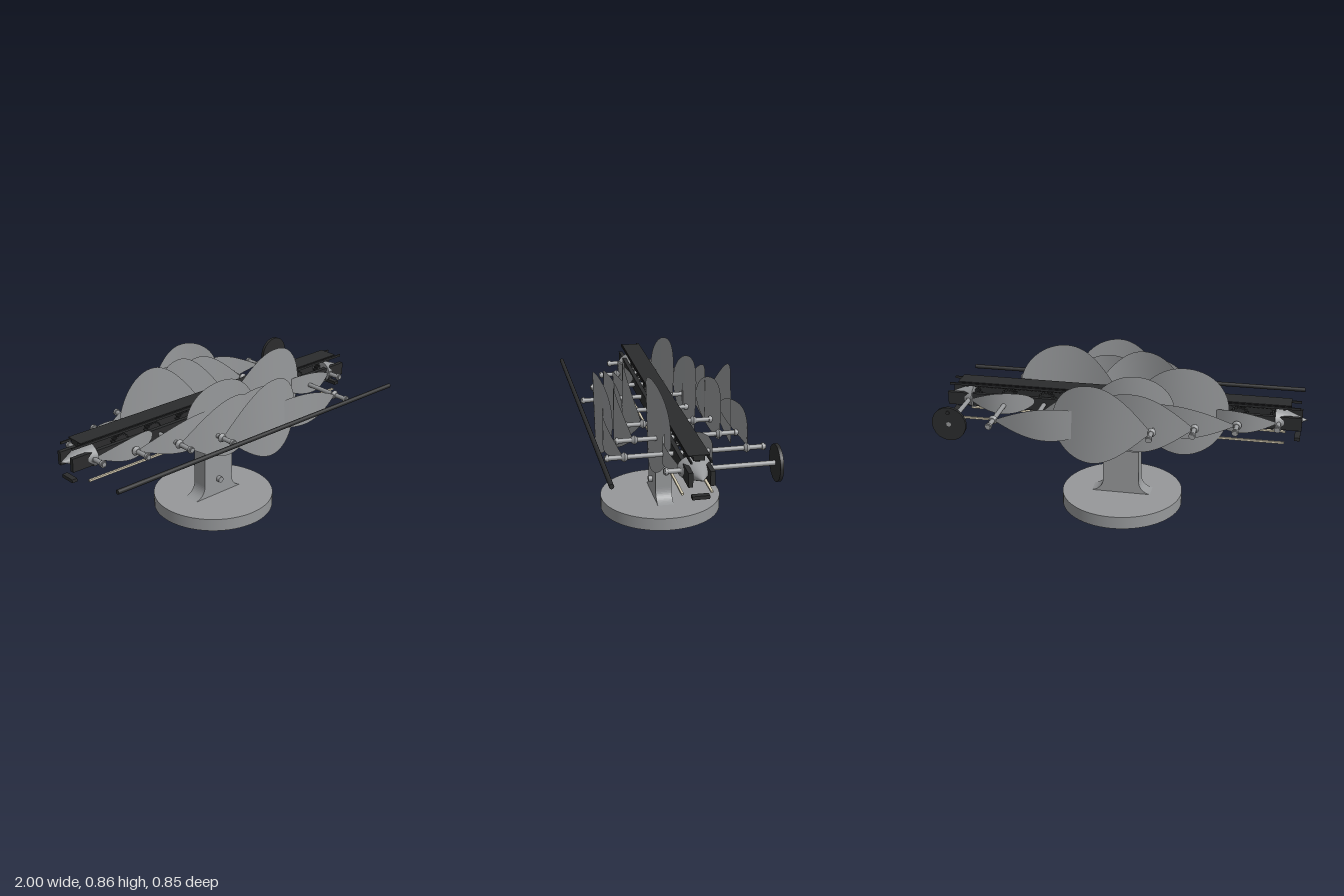
import * as THREE from 'three';

const grey = new THREE.MeshStandardMaterial({ color: 0x96989a, side: THREE.DoubleSide });
grey.name = 'brushed grey';
const dark = new THREE.MeshStandardMaterial({ color: 0x2b2c2d });
dark.name = 'charcoal';
const cream = new THREE.MeshStandardMaterial({ color: 0xd6cdb4 });
cream.name = 'cream';

const AXIS_Y = 0.575; // height of all shafts
const MID_Z = -0.012; // middle plane of the machine

function add(parent, name, geo, mat, x = 0, y = 0, z = 0) {
  const m = new THREE.Mesh(geo, mat);
  m.name = name;
  m.position.set(x, y, z);
  parent.add(m);
  return m;
}
const box = (p, name, mat, w, h, d, x, y, z) => add(p, name, new THREE.BoxGeometry(w, h, d), mat, x, y, z);

// Cylinder lying along z from z0 to z1
function rod(p, name, mat, r0, z0, z1, x, y = AXIS_Y, r1 = r0) {
  const g = new THREE.CylinderGeometry(r1, r0, Math.abs(z1 - z0), 20);
  g.rotateX(z1 > z0 ? Math.PI / 2 : -Math.PI / 2);
  return add(p, name, g, mat, x, y, (z0 + z1) / 2);
}

// Pointed, rounded petal starting at the shaft, bowed along its length
function petalGeometry(length, half, bow, dir, tilt) {
  const rows = 40, cols = 4, widest = 0.585;
  const g = new THREE.PlaneGeometry(1, 1, rows, cols);
  const p = g.attributes.position;
  for (let i = 0; i < p.count; i++) {
    const u = p.getX(i) + 0.5;
    const t = (1 - Math.cos(Math.PI * u)) / 2;
    const w = t < widest
      ? Math.sin((Math.PI / 2) * (t / widest))
      : Math.sqrt(Math.max(0, 1 - ((t - widest) / (1 - widest)) ** 2));
    const a = t * length, b = p.getY(i) * 2 * half * w;
    p.setXYZ(i, dir * (a * Math.cos(tilt) - b * Math.sin(tilt)),
      a * Math.sin(tilt) + b * Math.cos(tilt), bow * Math.sin(Math.PI * t));
  }
  g.computeVertexNormals();
  return g;
}

// Spur gear with square teeth
function gearGeometry(radius, teeth, depth) {
  const s = new THREE.Shape();
  for (let i = 0; i < teeth * 4; i++) {
    const a = (i / (teeth * 4)) * Math.PI * 2;
    const r = i % 4 < 2 ? radius : radius * 0.84;
    if (i) s.lineTo(r * Math.cos(a), r * Math.sin(a));
    else s.moveTo(r, 0);
  }
  const g = new THREE.ExtrudeGeometry(s, { depth, bevelEnabled: false });
  g.translate(0, 0, -depth / 2);
  return g;
}

function addStand(root) {
  const stand = new THREE.Group();
  stand.name = 'stand';
  root.add(stand);
  add(stand, 'roundBase', new THREE.CylinderGeometry(0.335, 0.335, 0.07, 64), grey, 0, 0.035, MID_Z);
  // Post with flared foot
  const s = new THREE.Shape();
  s.moveTo(-0.165, 0.07);
  s.lineTo(0.165, 0.07);
  s.quadraticCurveTo(0.1, 0.085, 0.1, 0.15);
  s.lineTo(0.1, 0.4);
  s.lineTo(0.125, 0.47);
  s.lineTo(-0.125, 0.47);
  s.lineTo(-0.1, 0.4);
  s.lineTo(-0.1, 0.15);
  s.quadraticCurveTo(-0.1, 0.085, -0.165, 0.07);
  const g = new THREE.ExtrudeGeometry(s, { depth: 0.09, bevelEnabled: false, curveSegments: 12 });
  add(stand, 'post', g, grey, 0, 0, MID_Z - 0.045);
  rod(stand, 'button', grey, 0.017, 0.03, 0.055, 0, 0.162);
}

function addFrame(root) {
  const frame = new THREE.Group();
  frame.name = 'frame';
  root.add(frame);
  box(frame, 'topPlate', dark, 1.82, 0.006, 0.105, 0, 0.669, MID_Z);
  box(frame, 'topWeb', dark, 1.82, 0.022, 0.055, 0, 0.655, MID_Z);
  box(frame, 'rack', dark, 1.78, 0.012, 0.022, 0, 0.641, MID_Z);
  for (let i = -38; i <= 38; i++) box(frame, 'rackTooth', dark, 0.011, 0.01, 0.022, i * 0.023, 0.632, MID_Z);
  for (const s of [-1, 1]) {
    box(frame, 'sideRail', dark, 1.94, 0.073, 0.023, 0, 0.574, MID_Z + s * 0.053);
    box(frame, 'topRail', dark, 1.92, 0.012, 0.008, 0, 0.655, MID_Z + s * 0.048);
    box(frame, 'guideRod', cream, 1.77, 0.01, 0.012, 0, 0.467, MID_Z + s * 0.072);
    box(frame, 'endBlock', dark, 0.03, 0.018, 0.085, s * 0.95, 0.478, MID_Z);
    // Oval nose cone
    const c = new THREE.ConeGeometry(1, 0.17, 32);
    c.rotateZ(-s * Math.PI / 2);
    c.scale(1, 0.067, 0.09);
    add(frame, 'noseCone', c, grey, s * 0.915, 0.577, MID_Z);
  }
  // Long front bar
  const bar = new THREE.CylinderGeometry(0.012, 0.012, 1.94, 20);
  bar.rotateZ(Math.PI / 2);
  add(frame, 'frontBar', bar, dark, 0, AXIS_Y, 0.412);
}

function addPetals(root) {
  const lengths = [0.59, 0.525, 0.52, 0.55, 0.37];
  const halves = [0.247, 0.216, 0.16, 0.09, 0.06];
  const tilts = [0.122, 0.12, 0.09, 0.055, 0.05];
  const inner = [0.055, 0.13, 0.214, 0.302];
  const gear = gearGeometry(0.052, 18, 0.03);
  for (let i = -4; i <= 4; i++) {
    const x = i * 0.212, k = Math.abs(i), level = (i + 4) % 4;
    add(root, 'gear', gear, dark, x, AXIS_Y, MID_Z);
    for (const side of [1, -1]) {
      const unit = new THREE.Group();
      unit.name = side > 0 ? 'frontPetalUnit' : 'backPetalUnit';
      root.add(unit);
      const wheelShaft = i === 4 && side < 0;
      const end = wheelShaft ? -0.41 : MID_Z + side * (0.157 + level * 0.083);
      rod(unit, 'shaft', grey, 0.0125, MID_Z, end, x);
      if (!wheelShaft) rod(unit, 'shaftCollar', grey, 0.018, end - side * 0.02, end - side * 0.006, x);
      // Petals fold toward the middle
      const dir = i === 0 ? side : -Math.sign(i);
      const z = MID_Z + side * (inner[level] + 0.01);
      add(unit, 'petal', petalGeometry(lengths[k], halves[k], side * 0.054, dir, tilts[k]), grey, x, AXIS_Y, z);
      rod(unit, 'hub', grey, 0.025, z - side * 0.004, z + side * 0.012, x, AXIS_Y, 0.015);
      rod(unit, 'hubBack', grey, 0.015, z - side * 0.018, z - side * 0.004, x, AXIS_Y, 0.025);
    }
  }
}

// Hand wheel on the back
function addWheel(root) {
  const wheel = new THREE.Group();
  wheel.name = 'handWheel';
  root.add(wheel);
  rod(wheel, 'wheelDisc', dark, 0.093, -0.402, -0.419, 0.848);
  rod(wheel, 'wheelHub', grey, 0.013, -0.41, -0.421, 0.848);
  rod(wheel, 'wheelKnob', dark, 0.01, -0.415, -0.426, 0.848, 0.64);
}

export function createModel() {
  const root = new THREE.Group();
  root.name = 'kineticSculpture';
  addStand(root);
  addFrame(root);
  addPetals(root);
  addWheel(root);
  return root;
}
